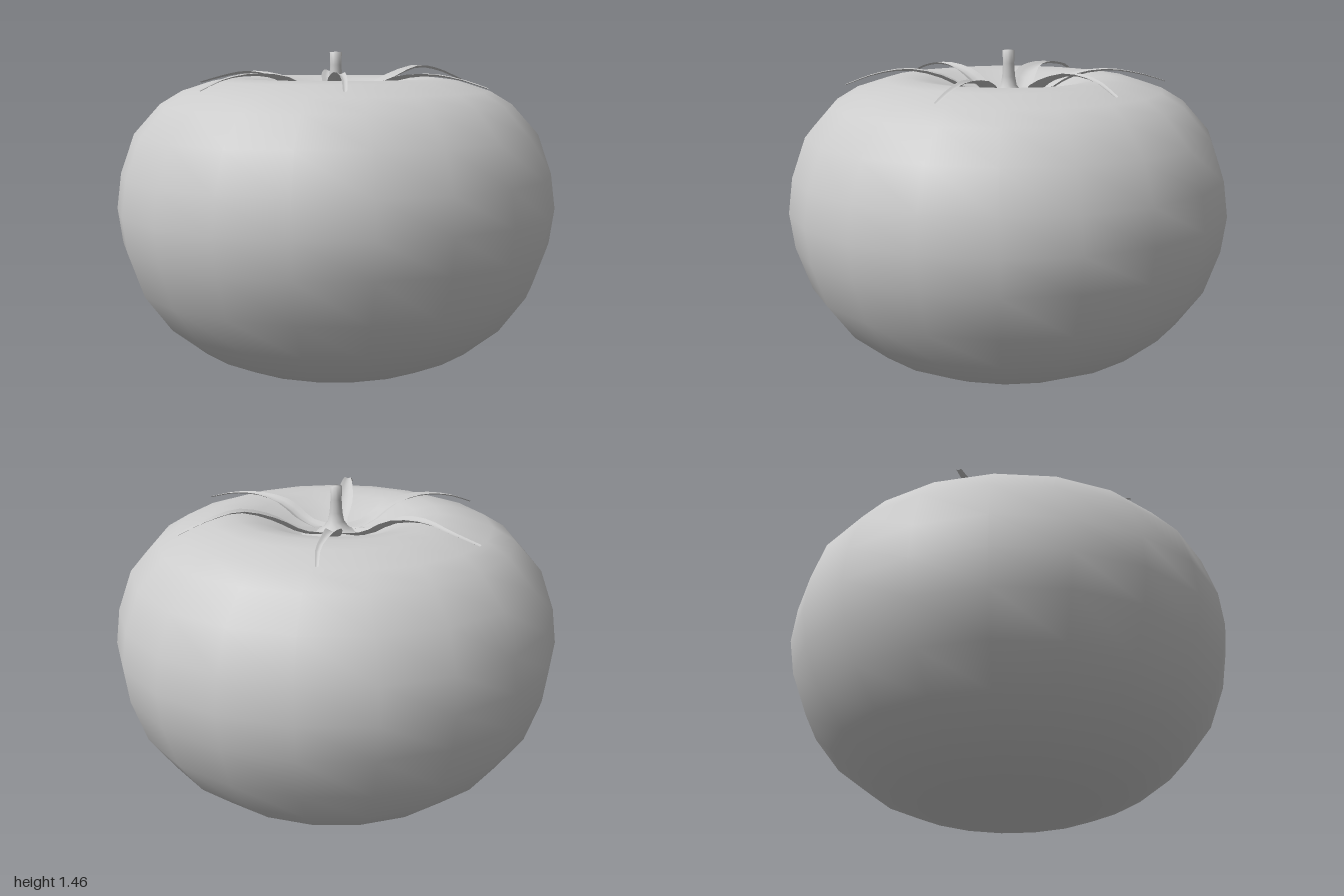
import * as THREE from 'three';

const grey = new THREE.MeshStandardMaterial({ color: 0xcccccc });
const thin = new THREE.MeshStandardMaterial({ color: 0xcccccc, side: THREE.DoubleSide });

function lathe(name, profile, segments, phase = 0) {
  const points = profile.map(([r, y]) => new THREE.Vector2(r, y));
  const mesh = new THREE.Mesh(new THREE.LatheGeometry(points, segments, phase), grey);
  mesh.name = name;
  return mesh;
}

// Leaf strip swept from the calyx centre to its tip, with a shallow gutter across it
function sepal({ tip: [x, z], tipY, peakY, width, bend }) {
  const length = Math.hypot(x, z);
  const dir = new THREE.Vector3(x / length, 0, z / length);
  const side = new THREE.Vector3(-dir.z, 0, dir.x);
  const at = (r, y, s = 0) => dir.clone().multiplyScalar(r).addScaledVector(side, s).setY(y);
  const curve = new THREE.CatmullRomCurve3([
    at(0.04, 1.25), at(0.17, 1.275, bend * 0.3), at(0.29, 1.338, bend),
    at(0.45, peakY, bend * 0.6), at(0.6, peakY - 0.018, -bend * 0.4), at(length, tipY),
  ]);
  // Half widths at equal steps along the leaf
  const halfWidths = [0.06, 0.05, 0.042, 0.047, 0.05, 0.045, 0.036, 0.028, 0.021, 0.017, 0.014, 0.012, 0.01];
  const rows = halfWidths.length, cols = 5;
  const positions = [], indices = [];
  halfWidths.forEach((half, i) => {
    const p = curve.getPoint(i / (rows - 1));
    const w = half * width;
    for (let j = 0; j < cols; j++) {
      const u = (j / (cols - 1)) * 2 - 1;
      const q = p.clone().addScaledVector(side, u * w);
      positions.push(q.x, q.y + (Math.abs(u) - 0.5) * w * 0.45, q.z);
      if (i && j) {
        const d = i * cols + j, c = d - 1, b = d - cols, a = b - 1;
        indices.push(a, b, d, a, d, c);
      }
    }
  });
  const geometry = new THREE.BufferGeometry();
  geometry.setAttribute('position', new THREE.Float32BufferAttribute(positions, 3));
  geometry.setIndex(indices);
  geometry.computeVertexNormals();
  return new THREE.Mesh(geometry, thin);
}

export function createModel() {
  const model = new THREE.Group();
  model.name = 'tomato';

  // Squat fruit with a dimple at the top
  model.add(lathe('fruit', [
    [0, 0.005], [0.22, 0], [0.34, 0.012], [0.48, 0.045], [0.63, 0.11], [0.79, 0.235],
    [0.91, 0.395], [0.98, 0.59], [1.003, 0.75], [0.983, 0.91], [0.92, 1.09], [0.8, 1.225],
    [0.7, 1.285], [0.56, 1.33], [0.46, 1.342], [0.36, 1.328], [0.25, 1.285], [0.13, 1.235], [0, 1.215],
  ], 19, Math.PI / 2 + 0.04));

  // Stalk with a flared foot
  model.add(lathe('stem', [
    [0.17, 1.245], [0.1, 1.252], [0.06, 1.27], [0.038, 1.3], [0.03, 1.34],
    [0.026, 1.4], [0.028, 1.458], [0, 1.46],
  ], 10));

  // Six sepals radiating from the stalk
  const calyx = new THREE.Group();
  calyx.name = 'calyx';
  [
    { tip: [0.73, 0], tipY: 1.305, peakY: 1.36, width: 0.9, bend: 0 },
    { tip: [0.37, -0.635], tipY: 1.32, peakY: 1.388, width: 1.05, bend: 0.02 },
    { tip: [-0.355, -0.63], tipY: 1.31, peakY: 1.365, width: 0.75, bend: -0.02 },
    { tip: [-0.735, -0.01], tipY: 1.31, peakY: 1.362, width: 1.1, bend: -0.03 },
    { tip: [-0.31, 0.66], tipY: 1.3, peakY: 1.365, width: 0.95, bend: -0.01 },
    { tip: [0.36, 0.64], tipY: 1.31, peakY: 1.375, width: 0.85, bend: 0.01 },
  ].forEach((spec, i) => {
    const leaf = sepal(spec);
    leaf.name = `sepal${i + 1}`;
    calyx.add(leaf);
  });
  model.add(calyx);
  return model;
}
